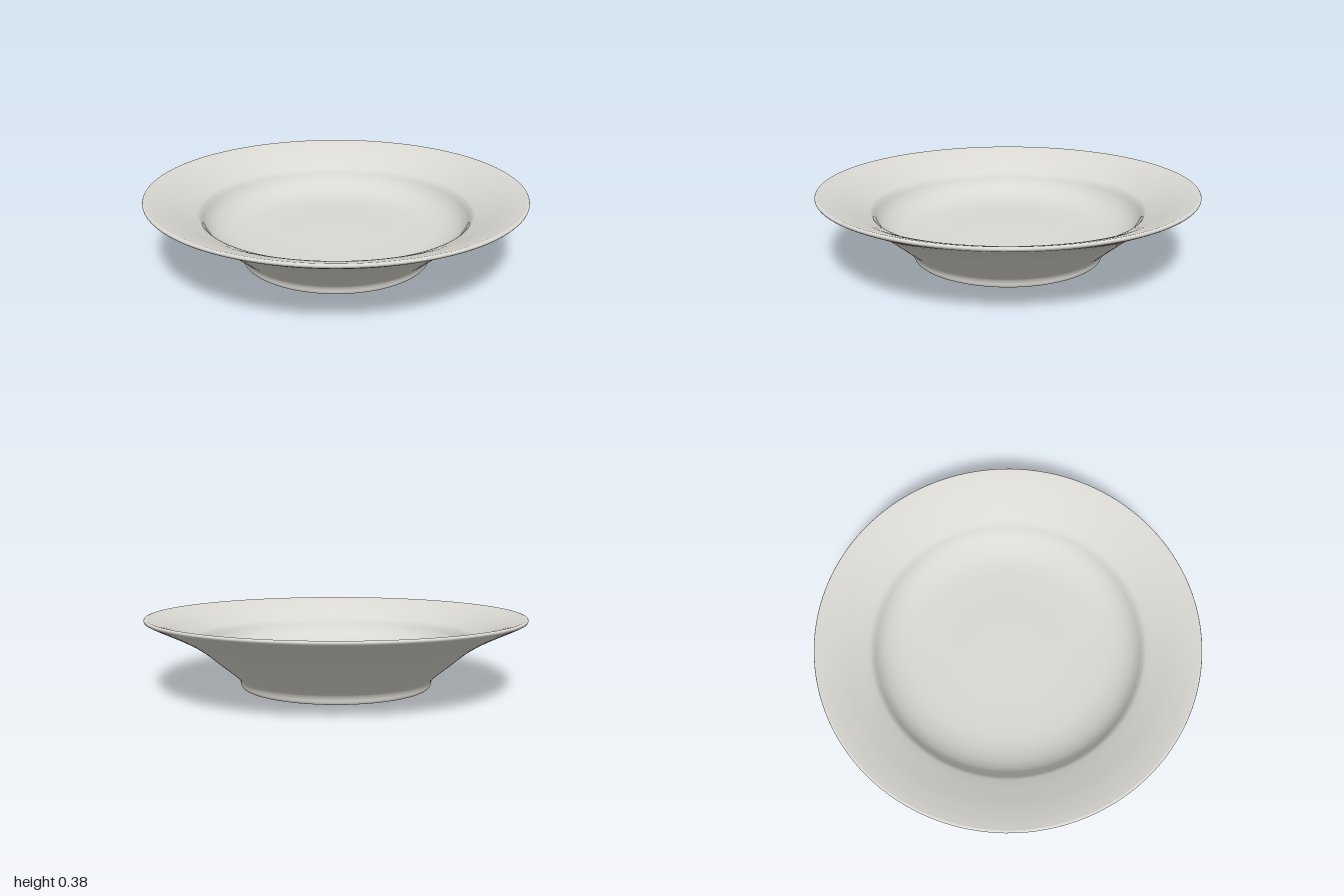
import * as THREE from 'three';

// Smooth curve through profile points given as [radius, height]
function smoothProfile(points, divisions) {
  const curve = new THREE.CatmullRomCurve3(
    points.map(([r, y]) => new THREE.Vector3(r, y, 0)), false, 'centripetal');
  return curve.getPoints(divisions).map(p => new THREE.Vector2(Math.max(p.x, 0), p.y));
}

export function createModel() {
  const group = new THREE.Group();
  group.name = 'soupPlate';
  const glaze = new THREE.MeshStandardMaterial({ color: 0xdad8d2 });
  glaze.name = 'off-white glaze';

  const add = (name, points, divisions) => {
    const mesh = new THREE.Mesh(
      new THREE.LatheGeometry(smoothProfile(points, divisions), 128), glaze);
    mesh.name = name;
    group.add(mesh);
  };

  // Recessed underside and the foot ring
  add('foot', [
    [0, 0.08], [0.2, 0.08], [0.38, 0.079], [0.43, 0.07], [0.46, 0.042],
    [0.475, 0.012], [0.484, 0.002], [0.495, 0], [0.507, 0.003],
    [0.512, 0.012], [0.515, 0.03], [0.523, 0.048], [0.54, 0.066],
  ], 80);

  // Flared outer wall up to the rounded lip
  add('outerWall', [
    [0.54, 0.066], [0.59, 0.108], [0.65, 0.158], [0.7, 0.2], [0.76, 0.242],
    [0.84, 0.287], [0.92, 0.326], [0.98, 0.355], [0.995, 0.364], [1, 0.373],
    [0.997, 0.38], [0.988, 0.382],
  ], 80);

  // Broad sloping rim, steep shoulder and shallow well
  add('rimAndWell', [
    [0.988, 0.382], [0.95, 0.371], [0.88, 0.345], [0.8, 0.308], [0.75, 0.283],
    [0.725, 0.268], [0.71, 0.25], [0.695, 0.226], [0.67, 0.197], [0.63, 0.169],
    [0.57, 0.146], [0.5, 0.134], [0.4, 0.13], [0.2, 0.13], [0, 0.13],
  ], 90);

  return group;
}
